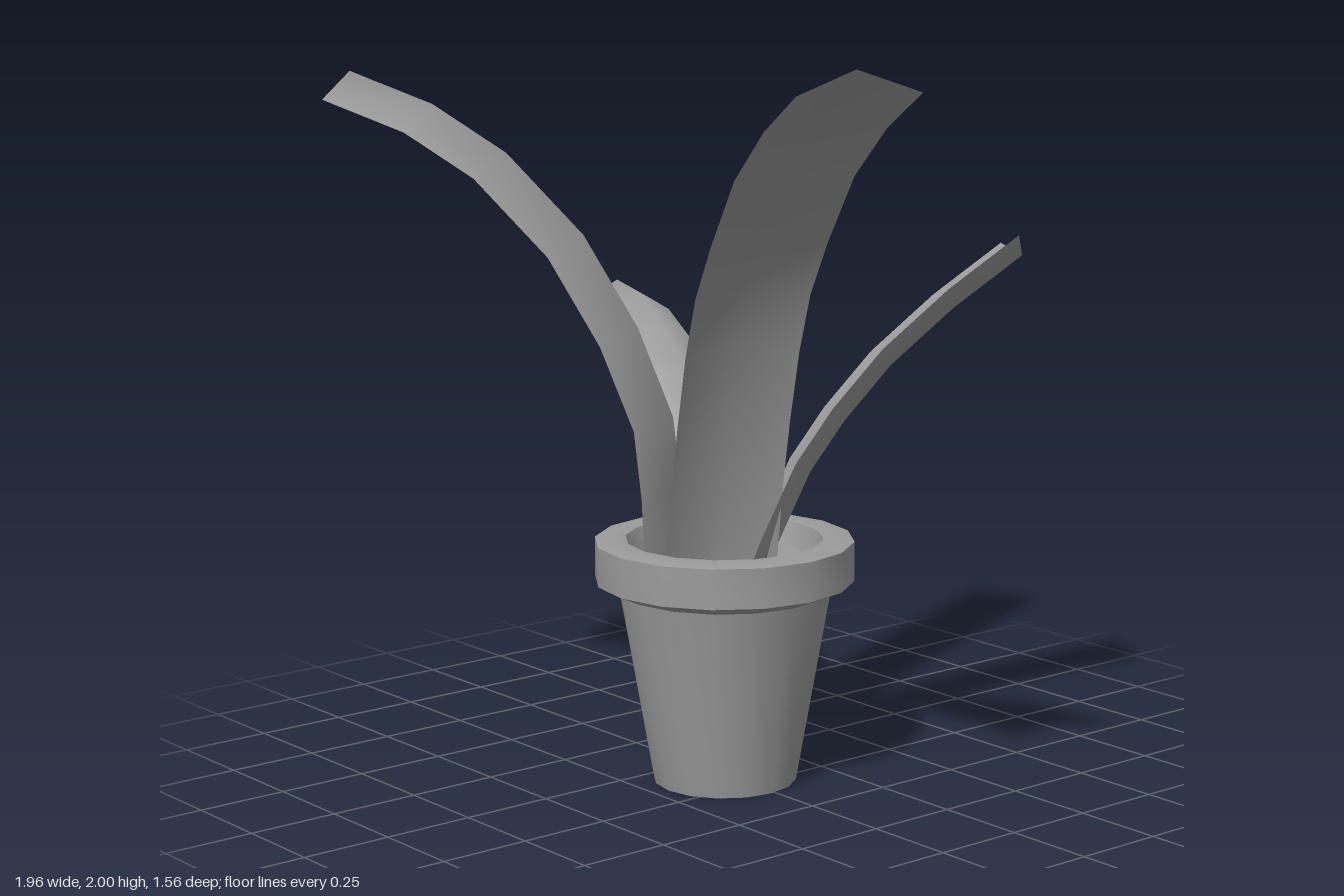
import * as THREE from 'three';
import { toCreasedNormals } from 'three/addons/utils/BufferGeometryUtils.js';

const color = 0x9b9b9b;
const material = new THREE.MeshStandardMaterial({ color });
const leafMaterial = new THREE.MeshStandardMaterial({ color, side: THREE.DoubleSide });

// Surface of revolution from [radius, y] pairs, sharp only at real edges
function lathe(name, profile) {
  const points = profile.map(([r, y]) => new THREE.Vector2(r, y));
  const geometry = toCreasedNormals(new THREE.LatheGeometry(points, 16), 0.5);
  const mesh = new THREE.Mesh(geometry, material);
  mesh.name = name;
  return mesh;
}

// Arched strip: a [reach, height] curve leaning out from base along dir.
// arch lifts the midrib (negative sinks it), roll twists the strip sideways.
function leaf({ name, base, dir, width, arch, roll = 0, curve }) {
  const out = new THREE.Vector3(dir[0], 0, dir[1]).normalize();
  const side = new THREE.Vector3(-out.z, 0, out.x);
  const positions = [], index = [];
  curve.forEach(([reach, height], i) => {
    const p = curve[Math.max(i - 1, 0)], q = curve[Math.min(i + 1, curve.length - 1)];
    const length = Math.hypot(q[0] - p[0], q[1] - p[1]);
    const normal = out.clone().multiplyScalar(-(q[1] - p[1]) / length);
    normal.y = (q[0] - p[0]) / length;
    const across = side.clone().multiplyScalar(Math.cos(roll)).addScaledVector(normal, Math.sin(roll));
    const lift = normal.clone().multiplyScalar(Math.cos(roll)).addScaledVector(side, -Math.sin(roll));
    for (const s of [-1, 0, 1]) {
      const v = new THREE.Vector3(base[0], height, base[1])
        .addScaledVector(out, reach)
        .addScaledVector(across, s * width / 2)
        .addScaledVector(lift, (1 - s * s) * arch);
      positions.push(v.x, v.y, v.z);
    }
    if (i === curve.length - 1) return;
    for (let j = 0; j < 2; j++) {
      const a = i * 3 + j;
      index.push(a, a + 1, a + 3, a + 1, a + 4, a + 3);
    }
  });
  const geometry = new THREE.BufferGeometry();
  geometry.setAttribute('position', new THREE.Float32BufferAttribute(positions, 3));
  geometry.setIndex(index);
  geometry.computeVertexNormals();
  const mesh = new THREE.Mesh(geometry, leafMaterial);
  mesh.name = name;
  return mesh;
}

const leaves = [
  {
    name: 'leftFrontLeaf', base: [-0.025, 0.068], dir: [0.93, 0.375], width: 0.307, arch: 0.06,
    curve: [[-0.04, 0.55], [-0.015, 0.67], [0.025, 0.84], [0.075, 1.0], [0.15, 1.2], [0.235, 1.36],
      [0.365, 1.51], [0.56, 1.7], [0.785, 1.84], [1.02, 1.945]],
  },
  {
    name: 'rightFrontLeaf', base: [-0.19, 0.155], dir: [-0.814, 0.58], width: 0.285, arch: 0.068,
    curve: [[0, 0.55], [0.01, 0.8], [0.03, 0.98], [0.12, 1.2], [0.26, 1.43], [0.46, 1.63],
      [0.65, 1.745], [0.875, 1.825]],
  },
  {
    name: 'rightLeaf', base: [-0.19, -0.06], dir: [-0.96, -0.29], width: 0.18, arch: 0.053,
    curve: [[0, 0.55], [0.05, 0.69], [0.095, 0.8], [0.19, 0.91], [0.31, 1.02], [0.46, 1.11],
      [0.615, 1.165], [0.795, 1.178]],
  },
  {
    name: 'rightBackLeaf', base: [-0.17, -0.045], dir: [-0.33, -0.945], width: 0.236, arch: 0.05,
    curve: [[-0.03, 0.55], [0, 0.8], [0.05, 1.03], [0.13, 1.2], [0.24, 1.37], [0.37, 1.5],
      [0.52, 1.62], [0.685, 1.715]],
  },
  {
    name: 'leftBackLeaf', base: [-0.09, 0], dir: [0.4, -0.917], width: 0.24, arch: -0.055, roll: 0.27,
    curve: [[0.035, 0.55], [0.085, 0.67], [0.175, 0.86], [0.275, 1.0], [0.41, 1.15], [0.59, 1.3],
      [0.785, 1.435]],
  },
];

export function createModel() {
  const model = new THREE.Group();
  model.name = 'pottedPlant';

  // Tapered pot with a thick rim, and the soil inside
  const pot = new THREE.Group();
  pot.name = 'pot';
  pot.position.set(-0.095, 0, 0.014);
  pot.add(
    lathe('potBody', [[0, 0], [0.193, 0], [0.285, 0.525]]),
    lathe('potRim', [[0.285, 0.525], [0.348, 0.553], [0.348, 0.66], [0.285, 0.67], [0.265, 0.665], [0.24, 0.59]]),
    lathe('soil', [[0.245, 0.6], [0, 0.6]]),
  );
  model.add(pot);

  // Arching leaves
  const foliage = new THREE.Group();
  foliage.name = 'foliage';
  foliage.add(...leaves.map(leaf));
  model.add(foliage);
  return model;
}
